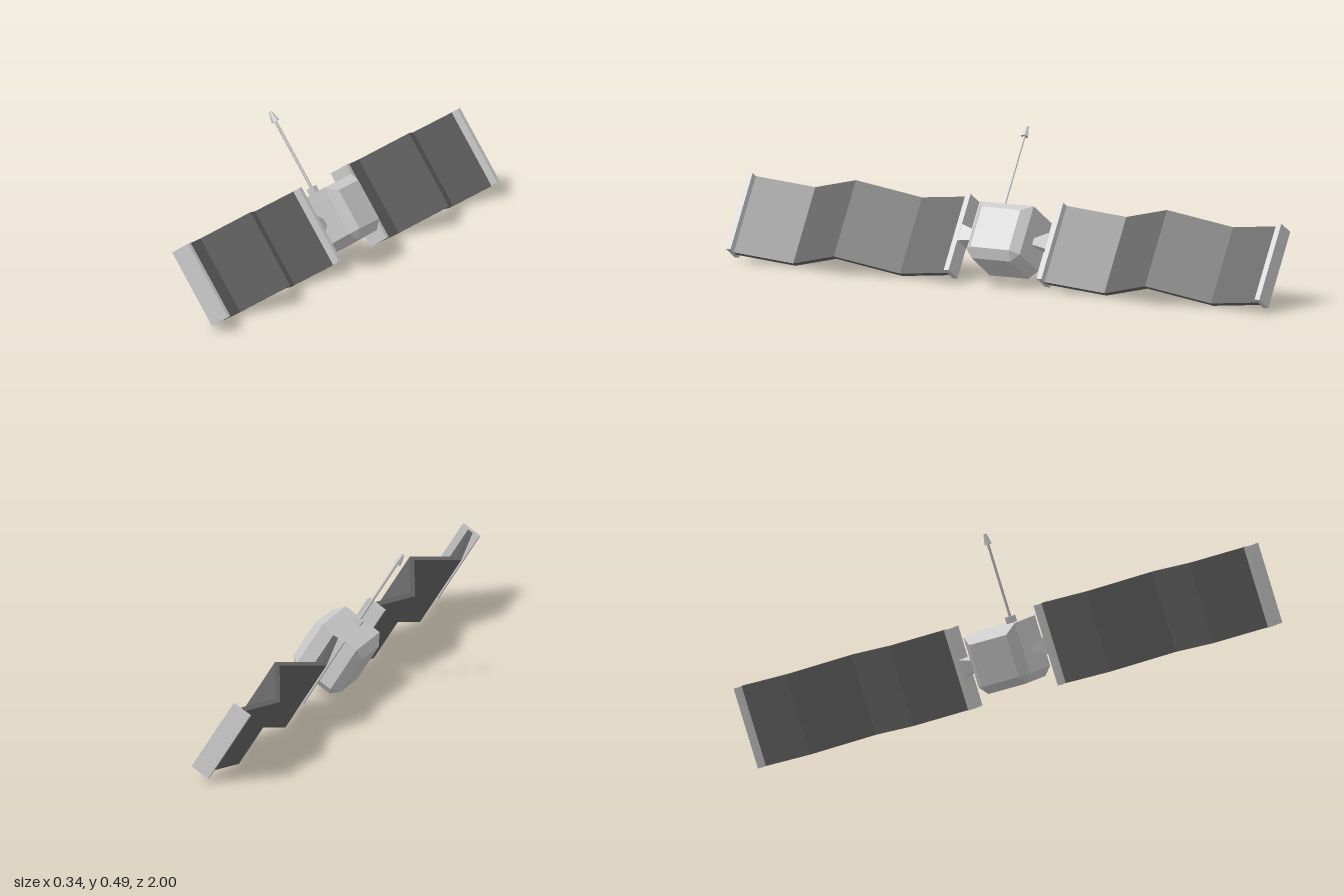
import * as THREE from 'three';
import { ConvexGeometry } from 'three/addons/geometries/ConvexGeometry.js';

const grey = new THREE.MeshStandardMaterial({ color: 0xcccccc, flatShading: true });
const dark = new THREE.MeshStandardMaterial({ color: 0x666666, flatShading: true });

function add(parent, name, geometry, material, x = 0, y = 0, z = 0) {
  const mesh = new THREE.Mesh(geometry, material);
  mesh.name = name;
  mesh.position.set(x, y, z);
  parent.add(mesh);
  return mesh;
}

// Box hull with bevelled edges; the top keeps its full depth
function bodyGeometry() {
  const corners = [
    [0.098, 0.0715, 0.072], [0.07, 0.1, 0.1],
    [0.098, -0.0715, 0.072], [0.07, -0.0715, 0.1], [0.07, -0.1, 0.072],
  ];
  const points = [];
  for (const [x, y, z] of corners)
    for (const sx of [-1, 1])
      for (const sz of [-1, 1]) points.push(new THREE.Vector3(sx * x, y, sz * z));
  return new ConvexGeometry(points);
}

// Folded sheet: a zigzag strip extruded over the panel height
function panelGeometry(height) {
  const half = 0.0095;
  const folds = [[0, 0.18], [-0.049, 0.383], [0.049, 0.583], [-0.049, 0.783], [0, 0.985]];
  const outline = [
    ...folds.map(([x, z]) => new THREE.Vector2(x + half, z)),
    ...folds.map(([x, z]) => new THREE.Vector2(x - half, z)).reverse(),
  ];
  const geometry = new THREE.ExtrudeGeometry(new THREE.Shape(outline), { depth: height, bevelEnabled: false });
  geometry.translate(0, 0, -height / 2);
  return geometry.rotateX(Math.PI / 2);
}

// One wing along +z: flared mount, inner plate, folded panel, outer plate
function makeWing(name) {
  const wing = new THREE.Group();
  wing.name = name;
  const height = 0.272;
  const mount = new THREE.CylinderGeometry(0.034 * Math.SQRT2, 0.012 * Math.SQRT2, 0.07, 4);
  mount.rotateY(Math.PI / 4).rotateX(Math.PI / 2).scale(1, 0.88, 1);
  add(wing, 'wingMount', mount, grey, 0, 0, 0.132);
  const plate = new THREE.BoxGeometry(0.068, height, 0.018);
  add(wing, 'innerPlate', plate, grey, 0, 0, 0.174);
  add(wing, 'outerPlate', plate, grey, 0, 0, 0.991);
  add(wing, 'solarPanel', panelGeometry(height), dark);
  return wing;
}

export function createModel() {
  const model = new THREE.Group();
  model.name = 'satellite';

  // Everything is built upright, then tilted
  const tilted = new THREE.Group();
  tilted.name = 'tiltedAssembly';
  tilted.position.set(0.0475, 0.148, 0);
  tilted.rotation.z = THREE.MathUtils.degToRad(32.1);
  model.add(tilted);

  add(tilted, 'body', bodyGeometry(), grey);

  const frontWing = makeWing('frontWing');
  const backWing = makeWing('backWing');
  backWing.rotation.x = Math.PI;
  tilted.add(frontWing, backWing);

  // Antenna on the top face
  const antenna = new THREE.Group();
  antenna.name = 'antenna';
  antenna.position.z = 0.05;
  tilted.add(antenna);
  add(antenna, 'antennaBase', new THREE.BoxGeometry(0.026, 0.024, 0.026), grey, 0, 0.11, 0);
  add(antenna, 'antennaRod', new THREE.CylinderGeometry(0.005, 0.005, 0.26, 6), grey, 0, 0.24, 0);
  add(antenna, 'antennaTip', new THREE.CylinderGeometry(0.006, 0.014, 0.036, 6), grey, 0, 0.384, 0);
  return model;
}
